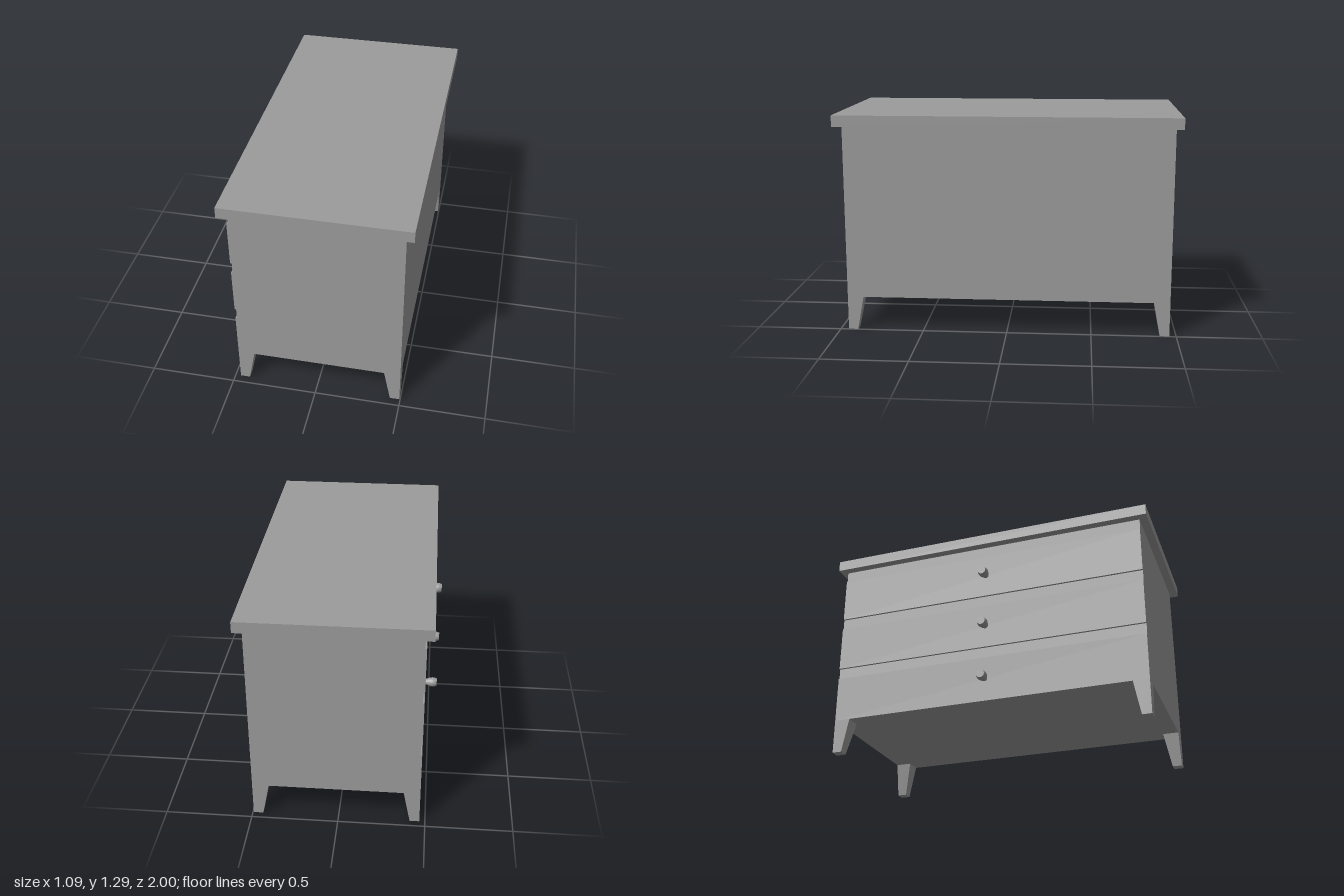
import * as THREE from 'three';

const smooth = new THREE.MeshStandardMaterial({ color: 0x9c9c9c });
const flat = new THREE.MeshStandardMaterial({ color: 0x9c9c9c, flatShading: true });

// Outer limits of the carcass; the drawers face -x
const FRONT = -0.468, RECESS = -0.459, BACK = 0.495;
const Z0 = -0.96, Z1 = 0.952;
const LEG_TOP = 0.202, BODY_TOP = 1.227, TOP = 1.292;

function add(group, name, geometry, mat = flat) {
  const mesh = new THREE.Mesh(geometry, mat);
  mesh.name = name;
  group.add(mesh);
  return mesh;
}

// Box given by its limits on each axis
function block(x0, x1, y0, y1, z0, z1) {
  return new THREE.BoxGeometry(x1 - x0, y1 - y0, z1 - z0)
    .translate((x0 + x1) / 2, (y0 + y1) / 2, (z0 + z1) / 2);
}

// Leg with upright outer faces and tapered inner faces
function legGeometry(x, z, sx, sz) {
  const wide = 0.095, narrow = 0.056;
  const geometry = new THREE.BoxGeometry(1, 1, 1);
  const p = geometry.attributes.position;
  for (let i = 0; i < p.count; i++) {
    const upper = p.getY(i) > 0;
    const width = upper ? wide : narrow;
    const inX = p.getX(i) * sx < 0, inZ = p.getZ(i) * sz < 0;
    p.setXYZ(i, x - (inX ? sx * width : 0), upper ? LEG_TOP : 0, z - (inZ ? sz * width : 0));
  }
  geometry.computeVertexNormals();
  return geometry;
}

// Drawer front run along z, its long edges eased; the lowest meets the legs squarely
function drawerGeometry(y0, y1, squareBottom) {
  const c = 0.002;
  const bottom = squareBottom ? [[FRONT, y0]] : [[FRONT, y0 + c], [FRONT + c, y0]];
  const shape = new THREE.Shape([
    [RECESS, y0], [RECESS, y1], [FRONT + c, y1], [FRONT, y1 - c], ...bottom,
  ].map(([x, y]) => new THREE.Vector2(x, y)));
  return new THREE.ExtrudeGeometry(shape, { depth: Z1 - Z0, bevelEnabled: false }).translate(0, 0, Z0);
}

// Turned knob, its axis pointing to -x
function knobGeometry() {
  const outline = new THREE.SplineCurve([
    [0.016, 0], [0.021, 0.015], [0.027, 0.032], [0.030, 0.047], [0.029, 0.062], [0.024, 0.077],
  ].map(([r, h]) => new THREE.Vector2(r, h))).getPoints(16);
  return new THREE.LatheGeometry(outline, 28).rotateZ(Math.PI / 2);
}

export function createModel() {
  const model = new THREE.Group();
  model.name = 'chestOfDrawers';

  add(model, 'tabletop', block(-0.507, 0.542, BODY_TOP, TOP, -1, 1));
  add(model, 'carcass', block(RECESS, BACK, LEG_TOP, BODY_TOP, Z0, Z1));

  // Four corner legs
  for (const [x, sx] of [[FRONT, -1], [BACK, 1]])
    for (const [z, sz] of [[Z0, -1], [Z1, 1]])
      add(model, 'leg', legGeometry(x, z, sx, sz));

  // Three drawers, each with a central knob
  for (let i = 0; i < 3; i++) {
    const y0 = LEG_TOP + i * 0.341;
    const drawer = new THREE.Group();
    drawer.name = 'drawer';
    add(drawer, 'drawerFront', drawerGeometry(y0, y0 + 0.275, i === 0));
    const knob = new THREE.Group();
    knob.name = 'knob';
    add(knob, 'knobBody', knobGeometry(), smooth);
    const cap = add(knob, 'knobEnd', new THREE.CircleGeometry(0.024, 28).rotateY(-Math.PI / 2));
    cap.position.x = -0.077;
    knob.position.set(FRONT, y0 + 0.138, (Z0 + Z1) / 2);
    drawer.add(knob);
    model.add(drawer);
  }
  return model;
}
